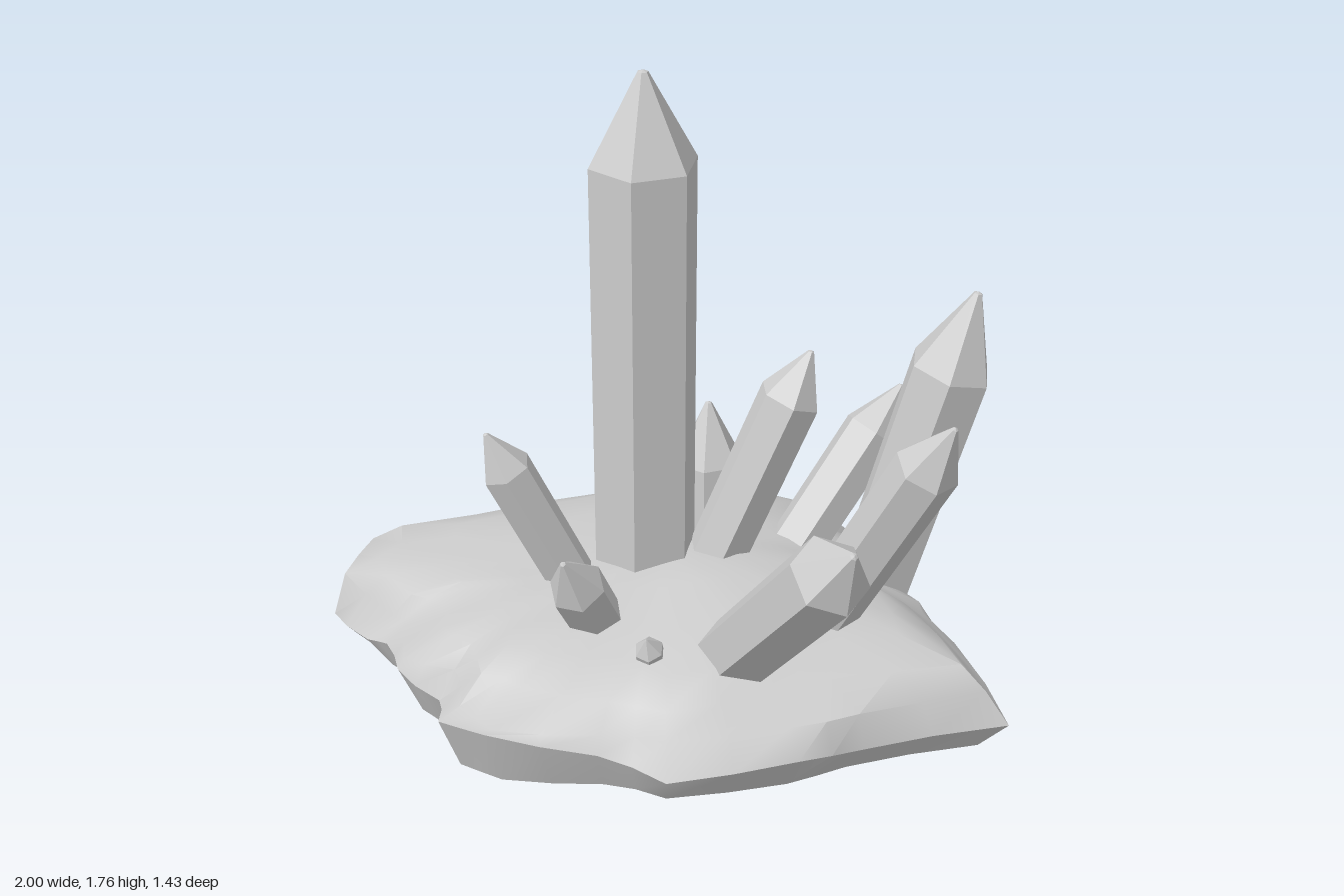
import * as THREE from 'three';
import { toCreasedNormals } from 'three/addons/utils/BufferGeometryUtils.js';

const stone = new THREE.MeshStandardMaterial({ color: 0xcccccc });
stone.name = 'paleGreyStone';
const crystalGrey = stone.clone();
crystalGrey.name = 'paleGreyCrystal';
crystalGrey.flatShading = true;

// Rock outline: x, z, height of the widest point
const OUTLINE = [
  [-1, -0.18, 0.05], [-0.58, -0.45, 0.1], [-0.13, -0.72, 0.1], [0.08, -0.71, 0.12], [0.3, -0.69, 0.14],
  [0.45, -0.58, 0.12], [0.54, -0.46, 0.08], [0.56, -0.32, 0.08], [0.72, -0.21, 0.12], [0.81, -0.12, 0.12],
  [1, 0.21, 0.1], [0.64, 0.41, 0.1], [0.49, 0.53, 0.12], [0.17, 0.68, 0.1], [-0.02, 0.66, 0.14],
  [-0.31, 0.71, 0.19], [-0.45, 0.67, 0.18], [-0.51, 0.5, 0.12], [-0.65, 0.44, 0.16], [-0.74, 0.29, 0.13],
  [-0.82, 0.24, 0.1], [-1, 0.05, 0.04],
];

// Rings from the underside centre, round the rim, to the top: scale, height (null = widest)
const RINGS = [[0, 0.01], [0.5, 0.01], [0.92, 0.01], [1, null], [0.94, 0.19], [0.83, 0.255],
  [0.68, 0.305], [0.48, 0.325], [0.25, 0.335], [0, 0.34]];

function rockGeometry() {
  // Double the outline with slightly uneven midpoints
  const rim = OUTLINE.flatMap((p, i) => {
    const q = OUTLINE[(i + 1) % OUTLINE.length];
    const k = 1 + 0.015 * Math.sin(i * 2.3);
    return [p, [(p[0] + q[0]) / 2 * k, (p[1] + q[1]) / 2 * k, (p[2] + q[2]) / 2]];
  });
  const n = rim.length;
  const positions = [];
  const index = [];
  RINGS.forEach(([scale, height], r) => {
    rim.forEach(([x0, z0, wide], i) => {
      const top = r > 3;
      // uneven shoulders, lumps on top and a low mound near the middle
      const s = scale * (top && scale > 0 ? 1 + 0.035 * Math.sin(i * 0.9 + r * 1.7) : 1);
      const x = x0 * s, z = z0 * s;
      let y = height ?? wide;
      if (top) {
        y += 0.014 * Math.sin(6 * x + 1) * Math.cos(7 * z)
          + 0.035 * Math.exp(-((x - 0.12) ** 2 + z * z) / 0.08);
        y -= 0.05 * Math.max(0, -x - 0.55);
      }
      positions.push(x, y, z);
    });
    if (r === 0) return;
    for (let i = 0; i < n; i++) {
      const j = (i + 1) % n;
      const a = (r - 1) * n + i, b = (r - 1) * n + j, c = r * n + i, d = r * n + j;
      if (RINGS[r - 1][0] > 0) index.push(a, c, b);
      if (scale > 0) index.push(b, c, d);
    }
  });
  const geometry = new THREE.BufferGeometry();
  geometry.setAttribute('position', new THREE.Float32BufferAttribute(positions, 3));
  geometry.setIndex(index);
  return toCreasedNormals(geometry, 0.7);
}

// Six-sided prism with a pointed end, running from base to tip
function crystal(name, base, tip, radius, point, twist = 0) {
  const from = new THREE.Vector3(...base);
  const axis = new THREE.Vector3(...tip).sub(from);
  const length = axis.length();
  const profile = [[0, 0], [radius * 0.97, 0], [radius, length - point], [radius * 0.1, length - 0.004], [0, length]]
    .map(([x, y]) => new THREE.Vector2(x, y));
  const geometry = new THREE.LatheGeometry(profile, 6).rotateY(twist);
  const mesh = new THREE.Mesh(geometry, crystalGrey);
  mesh.name = name;
  mesh.position.copy(from);
  mesh.quaternion.setFromUnitVectors(new THREE.Vector3(0, 1, 0), axis.normalize());
  return mesh;
}

export function createModel() {
  const group = new THREE.Group();
  group.name = 'crystalCluster';

  const rock = new THREE.Mesh(rockGeometry(), stone);
  rock.name = 'rockBase';
  group.add(rock);

  // name, base, tip, radius, point length, twist
  const crystals = [
    ['mainCrystal', [-0.07, 0.03, -0.035], [-0.07, 1.77, -0.03], 0.15, 0.25, 0.05],
    ['rightFrontCrystal', [-0.21, 0.22, 0.08], [-0.45, 0.8, 0.21], 0.072, 0.13, 0.3],
    ['smallFrontCrystal', [-0.11, 0.2, 0.21], [-0.16, 0.59, 0.47], 0.078, 0.14, 0.4],
    ['tinyFrontCrystal', [0.06, 0.25, 0.38], [0.055, 0.37, 0.44], 0.04, 0.05, 0.2],
    ['leaningFrontCrystal', [0.21, 0.19, 0.265], [0.63, 0.85, 0.67], 0.108, 0.14, 0.75],
    ['leftFrontCrystal', [0.42, 0.2, 0.08], [0.81, 1.01, 0.27], 0.088, 0.16, 0.5],
    ['tinyLeftCrystal', [0.43, 0.25, 0.05], [0.41, 0.46, 0.03], 0.055, 0.08, 0.3],
    ['leftTallCrystal', [0.53, 0.13, -0.275], [0.79, 1.12, -0.32], 0.12, 0.24, 0.1],
    ['leftBackCrystal', [0.27, 0.2, -0.22], [0.57, 0.71, -0.53], 0.085, 0.16, 0.2],
    ['lowBackCrystal', [0.5, 0.1, -0.4], [0.57, 0.4, -0.52], 0.08, 0.14, 0.4],
    ['innerLeftCrystal', [0.08, 0.22, -0.05], [0.365, 0.965, -0.17], 0.088, 0.15, 0.3],
    ['innerBackCrystal', [0.07, 0.2, -0.23], [0.055, 0.72, -0.27], 0.1, 0.18, 0.1],
  ];
  crystals.forEach((spec) => group.add(crystal(...spec)));
  return group;
}
